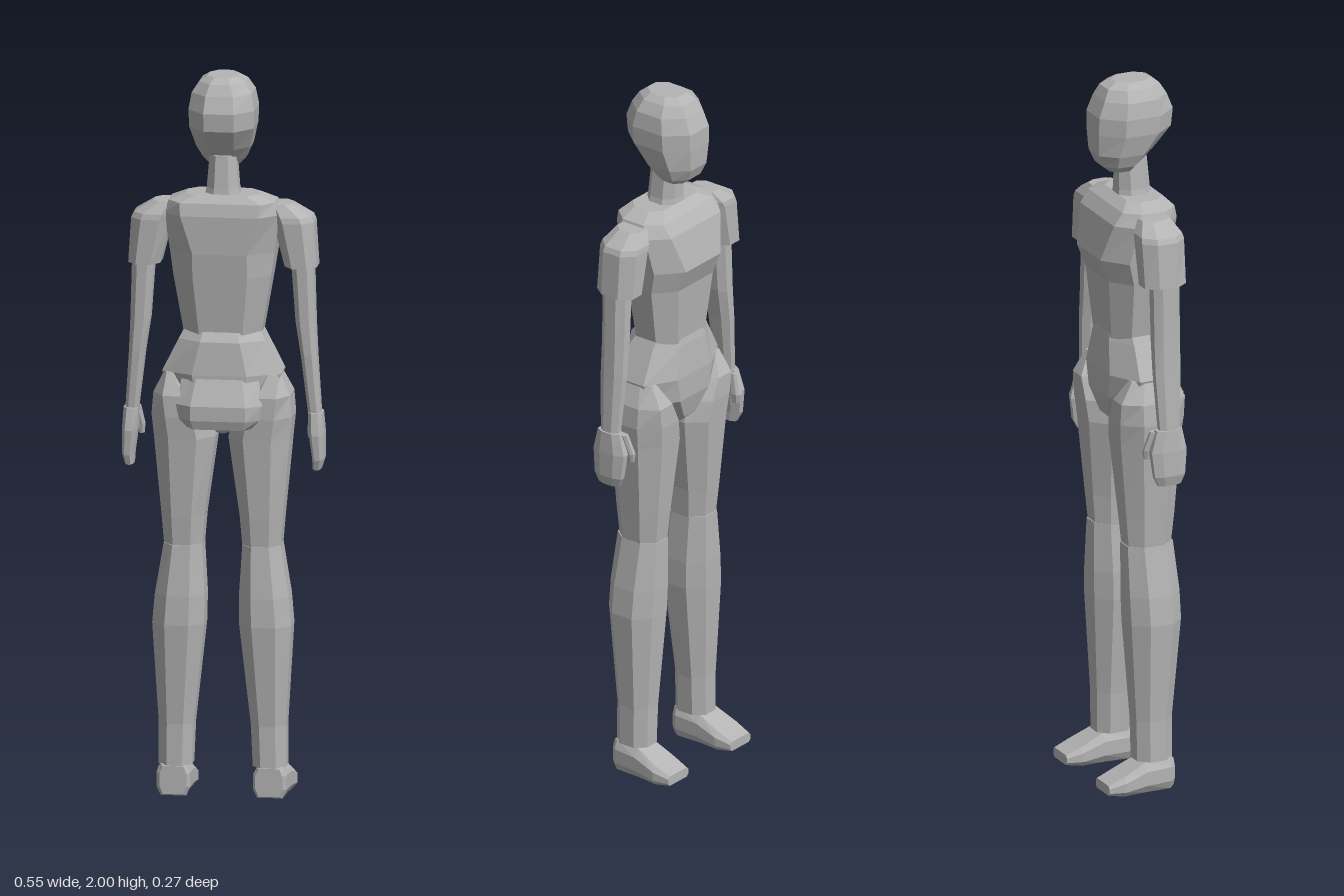
import * as THREE from 'three';

const grey = new THREE.MeshStandardMaterial({ color: 0xb4b4b4, flatShading: true });
grey.name = 'clayGrey';

// Eight-sided section: x range, z range, corner cuts as fractions of each range
function octagon(x0, x1, z0, z1, cutX = 0.27, cutZ = 0.27) {
  const a = (x1 - x0) * cutX, b = (z1 - z0) * cutZ;
  return [[x1, z1 - b], [x1, z0 + b], [x1 - a, z0], [x0 + a, z0],
    [x0, z0 + b], [x0, z1 - b], [x0 + a, z1], [x1 - a, z1]];
}

// Skin sections stacked upward: [y, x0, x1, z0, z1, cutX, cutZ]
function loft(rings) {
  const pos = [], index = [];
  for (const [y, ...section] of rings)
    for (const [x, z] of octagon(...section)) pos.push(x, y, z);
  const top = (rings.length - 1) * 8;
  for (let r = 0; r < top; r += 8)
    for (let k = 0; k < 8; k++) {
      const n = (k + 1) % 8;
      index.push(r + k, r + n, r + 8 + n, r + k, r + 8 + n, r + 8 + k);
    }
  for (let k = 1; k < 7; k++) index.push(0, k + 1, k, top, top + k, top + k + 1);
  const g = new THREE.BufferGeometry();
  g.setAttribute('position', new THREE.Float32BufferAttribute(pos, 3));
  g.setIndex(index);
  const flat = g.toNonIndexed();
  flat.computeVertexNormals();
  return flat;
}

// Sections symmetric about x = 0: [y, halfWidth, z0, z1, cutX, cutZ]
const centred = rings => rings.map(([y, w, ...rest]) => [y, -w, w, ...rest]);
const mirrored = rings => rings.map(([y, x0, x1, ...rest]) => [y, -x1, -x0, ...rest]);

export function createModel() {
  const model = new THREE.Group();
  model.name = 'mannequin';

  const add = (name, rings, parent = model) => {
    const mesh = new THREE.Mesh(loft(rings), grey);
    mesh.name = name;
    parent.add(mesh);
    return mesh;
  };

  // Head and neck
  add('head', centred([
    [1.745, 0.038, -0.06, 0.01],
    [1.765, 0.058, -0.085, 0.025],
    [1.80, 0.074, -0.1, 0.06],
    [1.86, 0.088, -0.103, 0.112],
    [1.91, 0.09, -0.103, 0.117],
    [1.955, 0.082, -0.085, 0.1],
    [1.985, 0.062, -0.07, 0.082],
    [2.0, 0.04, -0.042, 0.062]]));
  add('neck', centred([
    [1.64, 0.055, -0.04, 0.065],
    [1.69, 0.043, -0.033, 0.058],
    [1.78, 0.036, -0.033, 0.05]]));

  // Trunk
  add('torso', centred([
    [1.28, 0.105, -0.075, 0.07, 0.22],
    [1.45, 0.134, -0.09, 0.088, 0.22],
    [1.515, 0.143, -0.116, 0.095, 0.24],
    [1.62, 0.158, -0.09, 0.098, 0.16],
    [1.655, 0.145, -0.065, 0.09, 0.12],
    [1.675, 0.1, -0.035, 0.072, 0.15]]));
  add('pelvis', centred([
    [1.01, 0.018, -0.03, 0.05],
    [1.045, 0.055, -0.07, 0.09],
    [1.11, 0.135, -0.086, 0.1],
    [1.18, 0.163, -0.088, 0.1],
    [1.27, 0.118, -0.08, 0.09],
    [1.295, 0.105, -0.075, 0.072]]));
  add('seat', centred([
    [1.035, 0.088, 0.02, 0.125, 0.12],
    [1.06, 0.11, 0.02, 0.133, 0.16],
    [1.10, 0.118, 0.02, 0.133, 0.18],
    [1.17, 0.105, 0.02, 0.1, 0.2]]));

  const limbs = {
    thigh: [
      [0.68, 0.056, 0.158, -0.055, 0.068],
      [0.78, 0.048, 0.166, -0.065, 0.078],
      [1.0, 0.018, 0.186, -0.085, 0.094],
      [1.06, 0.03, 0.192, -0.09, 0.1],
      [1.12, 0.07, 0.187, -0.09, 0.1],
      [1.18, 0.12, 0.158, -0.055, 0.07]],
    shin: [
      [0.085, 0.083, 0.174, -0.04, 0.064],
      [0.2, 0.078, 0.174, -0.042, 0.064],
      [0.48, 0.048, 0.19, -0.058, 0.09],
      [0.56, 0.047, 0.183, -0.06, 0.088],
      [0.7, 0.055, 0.16, -0.06, 0.075]],
    sleeve: [
      [1.475, 0.17, 0.258, -0.056, 0.066],
      [1.6, 0.138, 0.25, -0.058, 0.067],
      [1.615, 0.132, 0.243, -0.056, 0.064],
      [1.648, 0.125, 0.19, -0.035, 0.045]],
    arm: [
      [1.06, 0.233, 0.268, -0.022, 0.034],
      [1.23, 0.213, 0.257, -0.03, 0.045],
      [1.32, 0.199, 0.253, -0.03, 0.046],
      [1.5, 0.186, 0.248, -0.03, 0.048]],
    hand: [
      [0.912, 0.245, 0.268, -0.028, 0.038],
      [0.94, 0.244, 0.276, -0.042, 0.048],
      [1.01, 0.235, 0.276, -0.05, 0.054],
      [1.07, 0.232, 0.272, -0.032, 0.042]],
    thumb: [
      [0.985, 0.224, 0.238, -0.058, -0.036],
      [1.01, 0.222, 0.244, -0.062, -0.03],
      [1.065, 0.232, 0.252, -0.045, -0.012]],
  };

  // Foot runs heel-ward along z: [z, x0, x1, -top, -bottom]
  const foot = [
    [-0.137, 0.092, 0.18, -0.036, -0.008, 0.08],
    [-0.09, 0.083, 0.189, -0.055, 0, 0.12],
    [-0.025, 0.085, 0.184, -0.085, 0, 0.15],
    [0.05, 0.086, 0.178, -0.088, 0, 0.12],
    [0.064, 0.094, 0.168, -0.084, -0.006, 0.12]];

  // Paired limbs
  for (const side of ['left', 'right']) {
    const place = side === 'left' ? r => r : mirrored;
    const group = new THREE.Group();
    group.name = side + 'Limbs';
    for (const [part, rings] of Object.entries(limbs)) add(part, place(rings), group);
    add('foot', place(foot), group).geometry.rotateX(Math.PI / 2);
    model.add(group);
  }
  return model;
}
